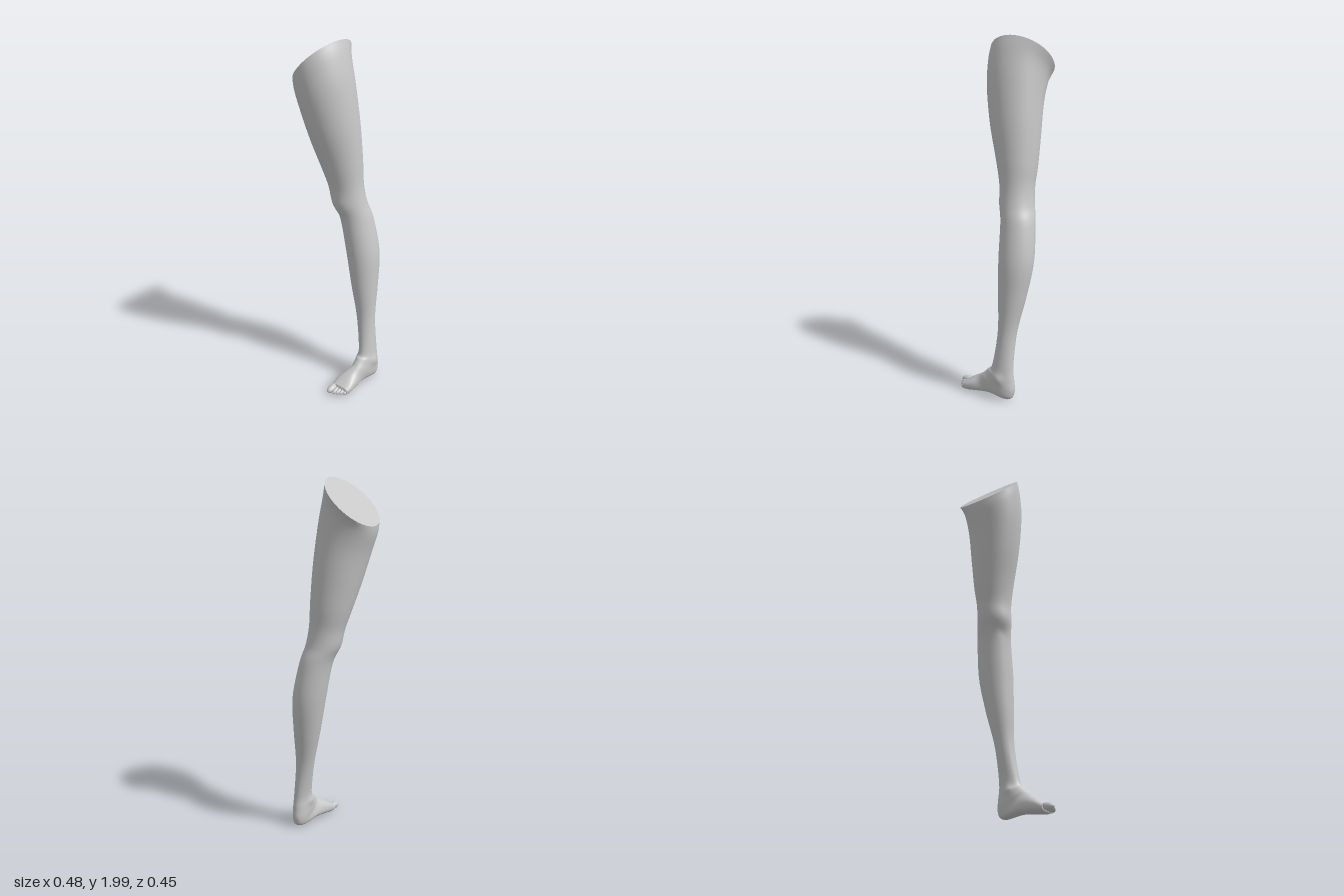
import * as THREE from 'three';

// Level sections of the leg: [height, x inner, x outer, z front, z back]
const LEG = [
  [1.875, -0.243, 0.010, 0.163, -0.213],
  [1.810, -0.233, 0.038, 0.163, -0.185],
  [1.685, -0.200, 0.072, 0.150, -0.175],
  [1.500, -0.160, 0.098, 0.110, -0.177],
  [1.320, -0.118, 0.108, 0.056, -0.176],
  [1.200, -0.087, 0.113, 0.025, -0.170],
  [1.100, -0.068, 0.130, 0.012, -0.180],
  [1.000, -0.027, 0.155, -0.010, -0.205],
  [0.800, 0.010, 0.193, -0.020, -0.220],
  [0.600, 0.050, 0.200, -0.030, -0.190],
  [0.400, 0.098, 0.203, -0.040, -0.150],
  [0.205, 0.134, 0.222, -0.018, -0.144],
];

// Sections swinging round the heel: [x inner, x outer, z top, y top, z sole, y sole]
const FOOT = [
  [0.132, 0.230, 0.010, 0.168, -0.152, 0.120],
  [0.132, 0.231, 0.030, 0.147, -0.155, 0.055],
  [0.134, 0.229, 0.045, 0.133, -0.125, 0.012],
  [0.120, 0.221, 0.080, 0.109, -0.010, 0.022],
  [0.108, 0.227, 0.115, 0.088, 0.080, 0.015],
  [0.105, 0.228, 0.140, 0.072, 0.135, 0.008],
  [0.108, 0.221, 0.166, 0.056, 0.164, 0.010],
];

// Common form: x inner, x outer, z front, y front, z back, y back, tilt, power.
// The thigh sections tilt steadily towards the slanted hip; the foot is squarer.
const RINGS = [
  ...LEG.map(([y, x0, x1, zf, zb]) => [x0, x1, zf, y, zb, y, Math.max(0, (y - 1.15) * 0.172), 1]),
  ...FOOT.map((row, i) => [...row, 0, i < 2 ? 1 - i * 0.1 : 0.8]),
];

// Soft bumps: [x, y, z, radius, outward push]
const BUMPS = [
  [0.020, 1.090, 0.010, 0.060, 0.008],   // kneecap
  [0.015, 1.020, -0.010, 0.025, -0.005], // hollow below it
  [0.235, 0.135, -0.080, 0.028, 0.009],  // outer ankle bone
  [0.130, 0.160, -0.065, 0.028, 0.008],  // inner ankle bone
];

const SIDES = 48, STEPS = 6;

function smooth(a, b, c, d, t) {
  return b + 0.5 * t * (c - a + t * (2 * a - 5 * b + 4 * c - d + t * (3 * (b - c) + d - a)));
}

// Smoothly interpolated section at ring position u
function section(u) {
  const last = RINGS.length - 1;
  const i = Math.min(Math.floor(u), last - 1), t = u - i;
  const row = k => RINGS[Math.max(0, Math.min(last, k))];
  return row(i).map((v, k) => smooth(row(i - 1)[k], v, row(i + 1)[k], row(i + 2)[k], t));
}

function ringPoints(u) {
  const [x0, x1, zf, yf, zb, yb, tilt, power] = section(u);
  const centre = new THREE.Vector3((x0 + x1) / 2, (yf + yb) / 2, (zf + zb) / 2);
  const rounded = v => Math.sign(v) * Math.abs(v) ** power;
  const points = [];
  for (let j = 0; j < SIDES; j++) {
    const a = (j / SIDES) * Math.PI * 2;
    const c = rounded(Math.cos(a)), s = rounded(Math.sin(a));
    const p = new THREE.Vector3(
      centre.x + c * (x1 - x0) / 2,
      centre.y + s * (yf - yb) / 2 + c * tilt,
      centre.z + s * (zf - zb) / 2);
    const out = p.clone().sub(centre).normalize();
    for (const [x, y, z, r, push] of BUMPS) {
      const d2 = p.distanceToSquared(new THREE.Vector3(x, y, z));
      p.addScaledVector(out, push * Math.exp(-d2 / (r * r)));
    }
    points.push(p);
  }
  return { centre, points };
}

function indexed(points, index) {
  const g = new THREE.BufferGeometry().setFromPoints(points);
  g.setIndex(index);
  g.computeVertexNormals();
  return g;
}

function legGeometry() {
  const points = [], index = [], count = (RINGS.length - 1) * STEPS;
  for (let i = 0; i <= count; i++) points.push(...ringPoints(i / STEPS).points);
  for (let i = 0; i < count; i++) {
    for (let j = 0; j < SIDES; j++) {
      const a = i * SIDES + j, b = i * SIDES + (j + 1) % SIDES;
      index.push(a, b, a + SIDES, b, b + SIDES, a + SIDES);
    }
  }
  // close the front of the foot behind the toes
  const end = ringPoints(RINGS.length - 1).centre;
  end.z += 0.01;
  points.push(end);
  for (let j = 0; j < SIDES; j++) {
    index.push(points.length - 1, count * SIDES + j, count * SIDES + (j + 1) % SIDES);
  }
  return indexed(points, index);
}

// Flat slanted cut at the hip
function capGeometry() {
  const { centre, points } = ringPoints(0), index = [];
  for (let j = 0; j < SIDES; j++) index.push(SIDES, (j + 1) % SIDES, j);
  return indexed([...points, centre], index);
}

export function createModel() {
  const group = new THREE.Group();
  group.name = 'leg';
  const grey = new THREE.MeshStandardMaterial({ color: 0xc8c8c8 });
  grey.name = 'light grey';

  const add = (name, geometry) => {
    const mesh = new THREE.Mesh(geometry, grey);
    mesh.name = name;
    group.add(mesh);
    return mesh;
  };
  add('legAndFoot', legGeometry());
  add('hipCut', capGeometry());

  // Toes: one big, then four small ones stepping back
  const ball = new THREE.SphereGeometry(1, 20, 14);
  const addToe = (name, x, tip, halfWidth, halfHeight) => {
    const toe = add(name, ball);
    toe.scale.set(halfWidth, halfHeight, 0.042);
    toe.position.set(x, 0.016 + halfHeight, tip - 0.042);
    toe.rotation.x = 0.12;
  };
  addToe('bigToe', 0.129, 0.227, 0.020, 0.020);
  for (let i = 0; i < 4; i++) {
    addToe('smallToe' + (i + 1), 0.156 + 0.018 * i, 0.214 - 0.007 * i - 0.0012 * i * i, 0.0115, 0.015);
  }
  return group;
}
